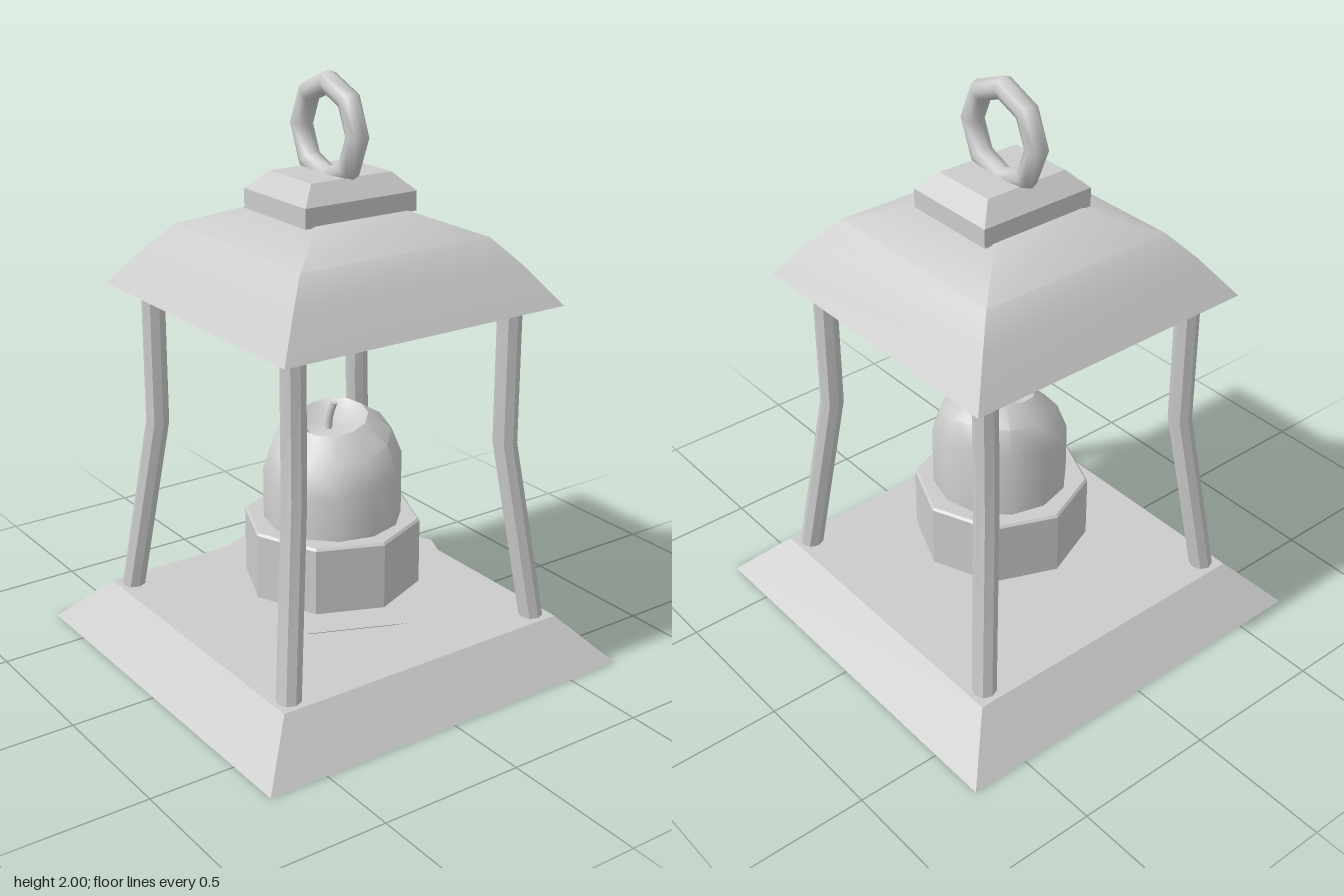
import * as THREE from 'three';
import { toCreasedNormals } from 'three/addons/utils/BufferGeometryUtils.js';

const material = new THREE.MeshStandardMaterial({ color: 0xcccccc });

// Closed skin over n-sided rings listed bottom to top: [y, rx, rz, cx, cz].
// A four-sided ring is a rectangle whose half sizes are rx and rz.
function loft(n, rings, crease = 0.3) {
  const pos = [];
  const index = [];
  const square = n === 4;
  const k = square ? Math.SQRT2 : 1;
  for (const [y, rx, rz = rx, cx = 0, cz = 0] of rings) {
    for (let j = 0; j < n; j++) {
      const a = (j / n) * Math.PI * 2 + (square ? Math.PI / 4 : 0);
      pos.push(cx + Math.sin(a) * rx * k, y, cz + Math.cos(a) * rz * k);
    }
  }
  const last = (rings.length - 1) * n;
  for (let j = 0; j < n; j++) {
    const j1 = (j + 1) % n;
    for (let i = 0; i < last; i += n) {
      index.push(i + j, i + j1, i + n + j1, i + j, i + n + j1, i + n + j);
    }
    if (j > 0 && j1 > 0) {
      index.push(0, j1, j, last, last + j, last + j1);
    }
  }
  const g = new THREE.BufferGeometry();
  g.setAttribute('position', new THREE.Float32BufferAttribute(pos, 3));
  g.setIndex(index);
  return toCreasedNormals(g, crease);
}

// Candle body with a hollow top, melted lower towards the front and left
function candleGeometry() {
  const profile = [[0.235, 0.47], [0.235, 0.69], [0.2, 0.78], [0.12, 0.845], [0.085, 0.815], [0, 0.81]];
  const g = new THREE.LatheGeometry(profile.map(([r, y]) => new THREE.Vector2(r, y)), 12);
  const p = g.attributes.position;
  for (let i = 0; i < p.count; i++) {
    const melt = THREE.MathUtils.clamp((p.getY(i) - 0.49) / 0.2, 0, 1);
    p.setY(i, p.getY(i) - melt * (0.13 * p.getX(i) + 0.18 * p.getZ(i)));
  }
  return toCreasedNormals(g, 0.7);
}

export function createModel() {
  const model = new THREE.Group();
  model.name = 'lantern';
  const add = (name, geometry, x = 0, y = 0, z = 0) => {
    const mesh = new THREE.Mesh(geometry, material);
    mesh.name = name;
    mesh.position.set(x, y, z);
    model.add(mesh);
    return mesh;
  };

  // Sloped square base
  add('base', loft(4, [[0, 0.705], [0.16, 0.555]]));

  // Four bent corner posts, splayed towards the base
  for (const [sx, side] of [[-1, 'Right'], [1, 'Left']]) {
    for (const [sz, end] of [[1, 'front'], [-1, 'back']]) {
      const ring = (y, x, z) => [y, 0.041, 0.041, sx * x, sz * z];
      add(`${end}${side}Post`, loft(8, [ring(0.15, 0.497, 0.5), ring(0.785, 0.418, 0.422), ring(1.28, 0.418, 0.422)]));
    }
  }

  // Curved hipped roof, its cap and the hanging ring
  add('roof', loft(4, [[1.27, 0.537], [1.4, 0.44], [1.485, 0.365], [1.56, 0.18]], 0.6), 0.01);
  add('roofCap', loft(4, [[1.555, 0.175, 0.215], [1.62, 0.175, 0.215], [1.68, 0.118, 0.155]]), 0.01);
  add('hangingRing', new THREE.TorusGeometry(0.153, 0.038, 8, 8), 0.003, 1.81, 0);

  // Shallow octagonal dish and candle holder
  add('dish', loft(8, [[0.175, 0.01], [0.207, 0.355], [0.26, 0.455]]), 0.003);
  add('candleHolder', loft(8, [[0.24, 0.303], [0.486, 0.303], [0.494, 0.295]]), 0.02);

  // Candle with a bent wick
  add('candle', candleGeometry(), 0.025);
  const wickPath = new THREE.CatmullRomCurve3([
    new THREE.Vector3(0.022, 0.79, 0.015),
    new THREE.Vector3(0.022, 0.85, 0.01),
    new THREE.Vector3(0.034, 0.9, 0),
  ]);
  add('wick', new THREE.TubeGeometry(wickPath, 4, 0.012, 6));
  const tip = add('wickTip', new THREE.CircleGeometry(0.012, 6), 0.034, 0.9, 0);
  tip.rotation.x = -Math.PI / 2;

  return model;
}
